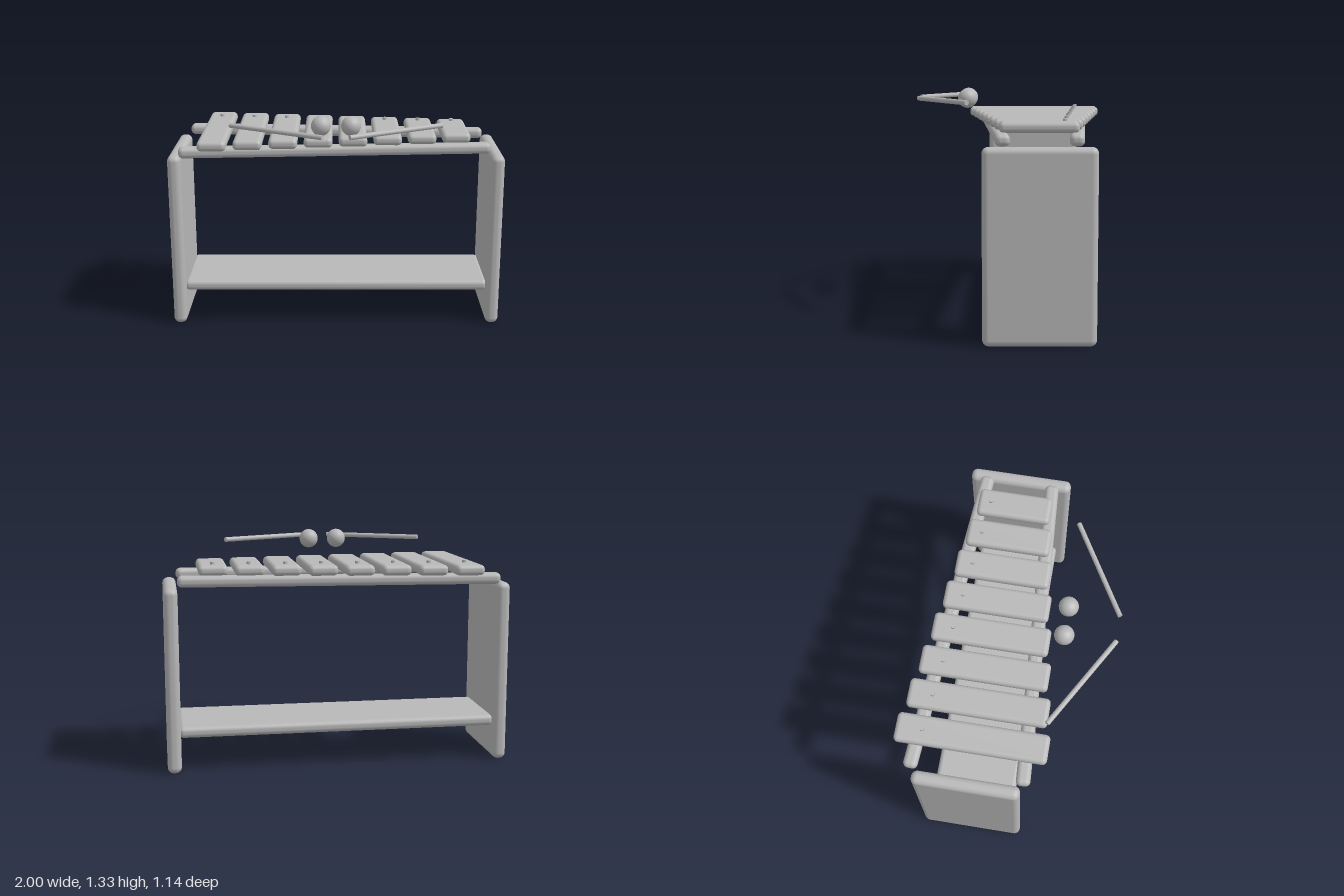
import * as THREE from 'three';
import { RoundedBoxGeometry } from 'three/addons/geometries/RoundedBoxGeometry.js';

export function createModel() {
  const model = new THREE.Group();
  model.name = 'xylophone';
  const grey = new THREE.MeshStandardMaterial({ color: 0xb8b8b8 });
  grey.name = 'plain grey';
  const midZ = -0.145;

  const add = (name, geometry, x, y, z) => {
    const mesh = new THREE.Mesh(geometry, grey);
    mesh.name = name;
    mesh.position.set(x, y, z);
    model.add(mesh);
    return mesh;
  };
  const slab = (w, h, d, r) => new RoundedBoxGeometry(w, h, d, 4, r);

  // End panels, left and right
  for (const side of [-1, 1]) {
    add(side > 0 ? 'leftPanel' : 'rightPanel', slab(0.08, 1.06, 0.61, 0.035), side * 0.958, 0.53, midZ);
  }

  // Lower shelf between the panels
  add('shelf', slab(1.86, 0.065, 0.505, 0.028), 0, 0.227, -0.15);

  // Two rails that converge towards the short bars
  for (const side of [-1, 1]) {
    const rail = add(side > 0 ? 'frontRail' : 'backRail', slab(1.845, 0.065, 0.08, 0.028), -0.003, 1.09, midZ + side * 0.255);
    rail.rotation.y = side * 0.065;
  }

  // Tone bars, each shorter than the last, with a peg near the back
  for (let i = 0; i < 8; i++) {
    const x = -0.72 + i * 0.205;
    add('toneBar' + (i + 1), slab(0.168, 0.06, 0.85 - i * 0.0595, 0.026), x, 1.148, midZ);
    add('peg' + (i + 1), new THREE.CylinderGeometry(0.0125, 0.0125, 0.04, 12), x, 1.173, -0.42 + i * 0.0193);
  }

  // Mallet heads and sticks
  for (const side of [-1, 1]) {
    const prefix = side > 0 ? 'left' : 'right';
    add(prefix + 'MalletHead', new THREE.SphereGeometry(0.057, 20, 14), side * 0.086, 1.27, 0.266);
    const inner = new THREE.Vector3(side * 0.075, 1.27, 0.557);
    const outer = new THREE.Vector3(side * 0.606, 1.27, 0.25);
    const along = outer.clone().sub(inner);
    const centre = inner.clone().add(outer).multiplyScalar(0.5);
    const stick = add(prefix + 'MalletStick', new THREE.CylinderGeometry(0.0145, 0.0145, along.length(), 12), ...centre.toArray());
    stick.quaternion.setFromUnitVectors(new THREE.Vector3(0, 1, 0), along.normalize());
  }

  return model;
}
